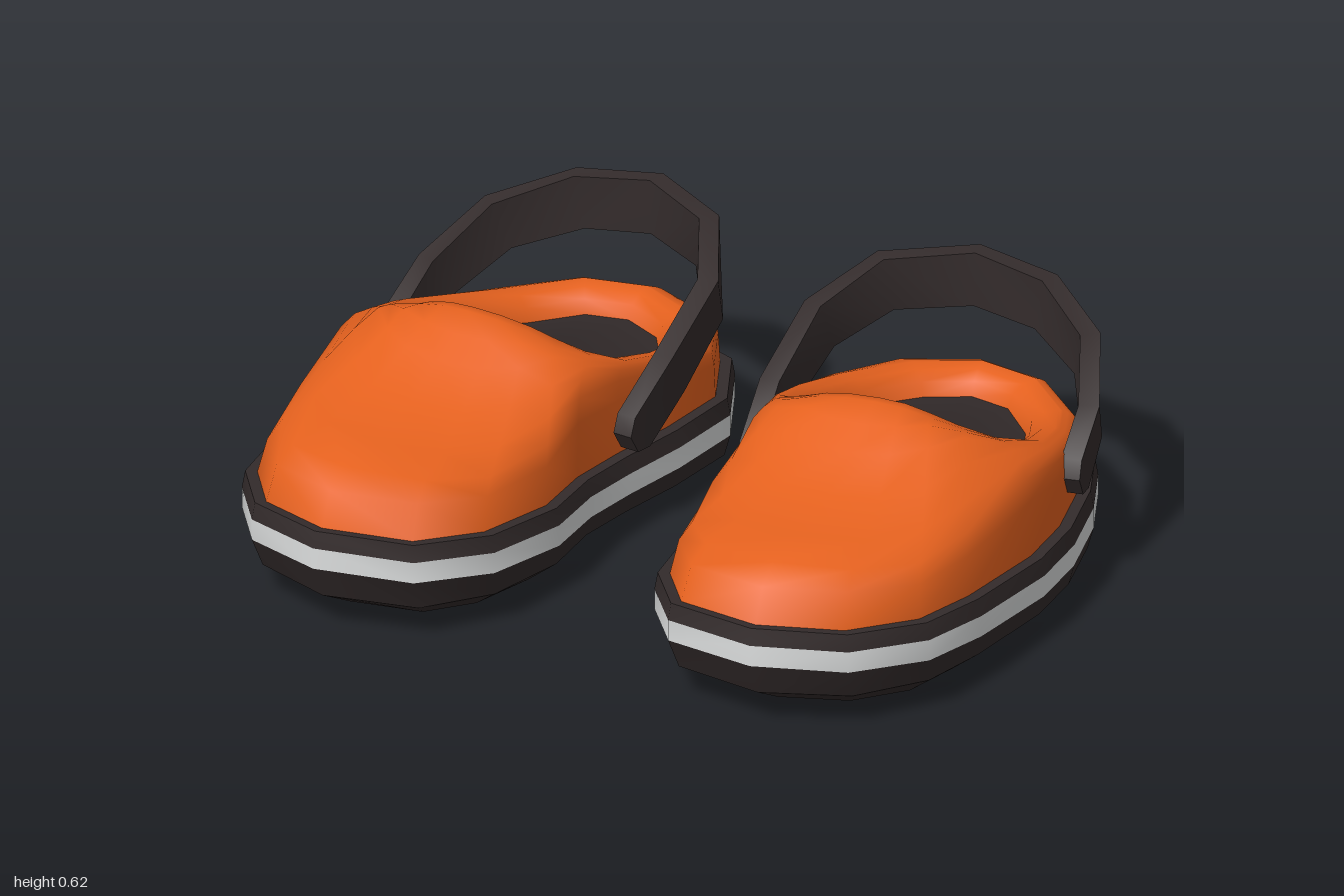
import * as THREE from 'three';
import { toCreasedNormals } from 'three/addons/utils/BufferGeometryUtils.js';

const orange = new THREE.MeshStandardMaterial({ color: 0xe5611e });
orange.name = 'orange foam';
const dark = new THREE.MeshStandardMaterial({ color: 0x342c2c });
dark.name = 'dark rubber';
const white = new THREE.MeshStandardMaterial({ color: 0xdcdede });
white.name = 'white stripe';

// Sole outline (x, z) of the left shoe, from the toe around the outer side
const OUTLINE = [
  [0.60, 0.80], [0.82, 0.70], [0.945, 0.51], [0.98, 0.30], [1.0, 0.0], [0.98, -0.2],
  [0.92, -0.42], [0.84, -0.60], [0.66, -0.76], [0.42, -0.80], [0.21, -0.70], [0.11, -0.48],
  [0.13, -0.25], [0.165, -0.05], [0.185, 0.12], [0.17, 0.32], [0.22, 0.57], [0.35, 0.75]];
// Rim of the foot opening, point for point with the outline
const OPENING = [
  [0.56, 0.055], [0.63, 0.05], [0.70, 0.035], [0.77, -0.01], [0.83, -0.11], [0.87, -0.23],
  [0.825, -0.40], [0.75, -0.56], [0.62, -0.69], [0.46, -0.72], [0.31, -0.64], [0.21, -0.47],
  [0.19, -0.27], [0.21, -0.11], [0.26, -0.02], [0.33, 0.025], [0.40, 0.045], [0.48, 0.055]];
// Height of the upper along z, heel to toe
const CREST = [[-0.8, 0.325], [-0.55, 0.325], [-0.3, 0.385], [-0.2, 0.42], [-0.12, 0.46],
  [-0.02, 0.53], [0.05, 0.57], [0.08, 0.57], [0.17, 0.51], [0.32, 0.45], [0.47, 0.425],
  [0.65, 0.435], [0.8, 0.41]];
// Rounding of the upper: fraction of the way to the rim, fraction of the height
const ROUNDING = [[0, 0], [0.06, 0.58], [0.15, 0.8], [0.35, 0.91], [0.6, 0.96], [0.8, 0.985],
  [0.9, 1], [1, 1]];
// Centre line of the heel strap
const STRAP = [[0.925, 0.30, -0.31], [0.9, 0.38, -0.44], [0.81, 0.475, -0.60], [0.64, 0.53, -0.71],
  [0.44, 0.55, -0.73], [0.245, 0.54, -0.62], [0.15, 0.475, -0.45], [0.145, 0.375, -0.22],
  [0.165, 0.28, -0.07]];

const soleTop = z => 0.215 + 0.03 * z + (z > 0 ? 0.064 * z * z : 0);

function crest(z) {
  for (let i = 1; i < CREST.length; i++) {
    const [z0, y0] = CREST[i - 1], [z1, y1] = CREST[i];
    if (z <= z1) return y0 + (y1 - y0) * (z - z0) / (z1 - z0);
  }
  return CREST[CREST.length - 1][1];
}

// Height of the upper above the sole, domed sideways over the instep and toes
function upperHeight(x, z) {
  const u = (x - 0.57) / 0.4;
  const dome = THREE.MathUtils.clamp((z + 0.2) / 0.25, 0, 1);
  return (crest(z) - soleTop(z)) * (1 - 0.34 * dome * u * u);
}

// Moves a closed outline inwards by d
function inset(points, d) {
  const n = points.length;
  return points.map(([x, z], i) => {
    const a = points[(i + n - 1) % n], b = points[(i + 1) % n];
    const tx = b[0] - a[0], tz = b[1] - a[1], l = Math.hypot(tx, tz);
    return [x + d * tz / l, z - d * tx / l];
  });
}

// Draws the toe back by a factor
const shortenToe = (points, s) => points.map(([x, z]) => [x, z > 0 ? z * s : z]);

// Lifts an outline into a 3D ring by a height rule
const ring = (points, height) => points.map(([x, z]) => [x, height(z), z]);

// All points of a ring gathered at its middle, to close a surface
function middle(points, drop = 0) {
  const c = [0, 1, 2].map(k => points.reduce((s, p) => s + p[k], 0) / points.length);
  c[1] -= drop;
  return points.map(() => c);
}

// Skins closed rings; side = -1 mirrors the surface in x
function loft(rings, side, crease) {
  const pos = [];
  const tri = (a, b, c) => {
    if (a === b || b === c || a === c) return;
    for (const p of side > 0 ? [a, b, c] : [a, c, b]) pos.push(p[0] * side, p[1], p[2]);
  };
  for (let j = 0; j + 1 < rings.length; j++) {
    const lo = rings[j], hi = rings[j + 1], n = lo.length;
    for (let i = 0; i < n; i++) {
      const k = (i + 1) % n;
      tri(lo[i], lo[k], hi[k]);
      tri(lo[i], hi[k], hi[i]);
    }
  }
  const geometry = new THREE.BufferGeometry();
  geometry.setAttribute('position', new THREE.Float32BufferAttribute(pos, 3));
  return toCreasedNormals(geometry, crease);
}

function strapRings() {
  const pts = STRAP.map(p => new THREE.Vector3(...p));
  const up = new THREE.Vector3(0, 1, 0);
  const rings = [];
  const section = (p, t, half) => {
    const across = new THREE.Vector3().crossVectors(up, t).normalize();
    const wide = new THREE.Vector3().crossVectors(t, across).normalize();
    rings.push([[-1, -1], [1, -1], [1, 1], [-1, 1]].map(([a, b]) =>
      p.clone().addScaledVector(across, a * 0.026).addScaledVector(wide, b * half).toArray()));
  };
  pts.forEach((p, i) => {
    const last = pts.length - 1;
    const t = pts[Math.min(i + 1, last)].clone().sub(pts[Math.max(i - 1, 0)]).normalize();
    // rounded tips beyond both ends
    if (i === 0) section(p.clone().addScaledVector(t, -0.04), t, 0.03);
    section(p, t, 0.06 + 0.012 * Math.sin(Math.PI * i / last));
    if (i === last) section(p.clone().addScaledVector(t, 0.04), t, 0.03);
  });
  return [middle(rings[0]), ...rings, middle(rings[rings.length - 1])];
}

function createShoe(side) {
  const shoe = new THREE.Group();
  shoe.name = side > 0 ? 'leftShoe' : 'rightShoe';
  const add = (name, rings, material, crease = 0.9) => {
    const mesh = new THREE.Mesh(loft(rings, side, crease), material);
    mesh.name = name;
    shoe.add(mesh);
  };

  // Sole: bevelled bottom, dark wall, white stripe, dark top edge
  const bottom = ring(shortenToe(inset(OUTLINE, 0.105), 0.9), z => Math.max(0, 0.06 * (z - 0.3)));
  const lower = ring(shortenToe(inset(OUTLINE, 0.015), 0.96), z => 0.062 + 0.035 * z);
  const stripeLow = ring(OUTLINE, z => soleTop(z) - 0.1);
  const stripeHigh = ring(OUTLINE, z => soleTop(z) - 0.045);
  const edge = ring(inset(OUTLINE, 0.008), soleTop);
  const ledge = ring(inset(OUTLINE, 0.05), soleTop);
  add('outsole', [middle(bottom), bottom, lower], dark, 0.5);
  add('soleWall', [lower, stripeLow], dark);
  add('soleStripe', [stripeLow, stripeHigh], white);
  add('soleEdge', [stripeHigh, edge, ledge], dark);

  // Upper: rounds over from the sole to the rim, then a thick lip turns inside
  const foot = inset(OUTLINE, 0.038);
  const upper = ROUNDING.map(([t, f]) => foot.map(([x0, z0], i) => {
    const x = x0 + (OPENING[i][0] - x0) * t, z = z0 + (OPENING[i][1] - z0) * t;
    return [x, soleTop(z) + upperHeight(x, z) * f, z];
  }));
  const rim = upper[upper.length - 1];
  const lowered = (d, drop) => inset(OPENING, d).map(([x, z], i) => [x, rim[i][1] - drop, z]);
  const lip = lowered(0.08, 0.06);
  add('upper', [...upper, lowered(0.035, 0.005), lowered(0.065, 0.025), lip], orange, 1.1);

  // Insole: dark foot bed filling the opening, dished in the middle
  add('insole', [lip, middle(lip, 0.04)], dark);

  add('heelStrap', strapRings(), dark, 0.7);
  return shoe;
}

export function createModel() {
  const model = new THREE.Group();
  model.name = 'clogs';
  for (const side of [1, -1]) model.add(createShoe(side));
  return model;
}
